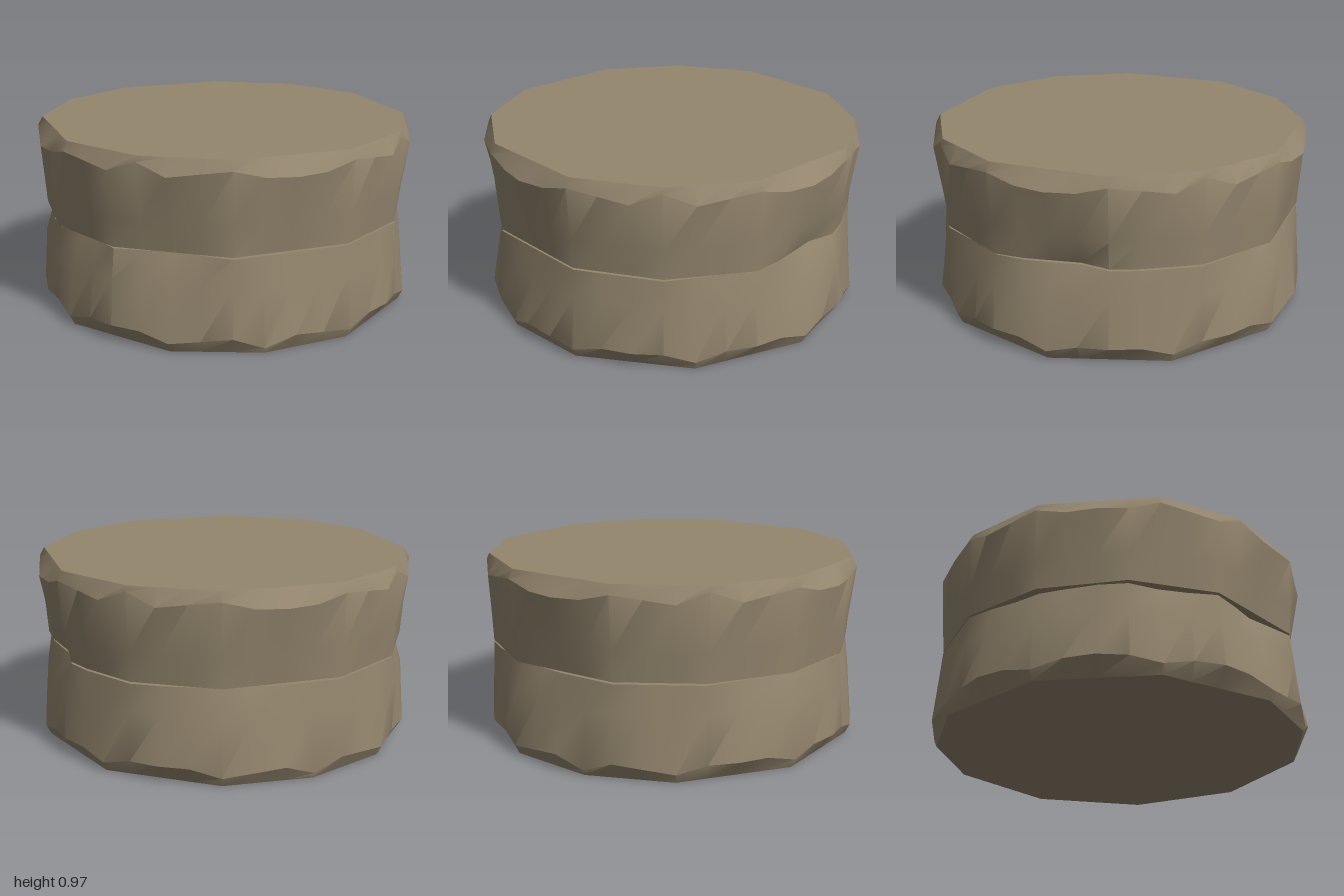
import * as THREE from 'three';
import { toCreasedNormals } from 'three/addons/utils/BufferGeometryUtils.js';

const SIDES = 40; // one column of points every 9 degrees
const RAD = Math.PI / 180;

// Corner angles in degrees, rising, of the uneven polygons (0 is +x, -90 is the front)
const RIM = [-153, -126, -99, -63, -36, -9, 27, 54, 81, 117, 144, 171];
const SEAM = [-162, -135, -99, -63, -36, -9, 27, 54, 81, 117, 144, 171];
const BASE = [-153, -117, -90, -63, -27, 9, 45, 81, 108, 135, 171];
const BELLY = Array.from({ length: 20 }, (_, i) => -171 + i * 18);

// Radius of a polygon, with the given corner angles, at angle t
function polyRadius(corners, radius, t) {
  const n = corners.length;
  for (let i = 0; i < n; i++) {
    const a = corners[i];
    const b = i + 1 < n ? corners[i + 1] : corners[0] + 360;
    const u = t < a ? t + 360 : t;
    if (u >= a && u <= b) {
      return radius * Math.cos((b - a) / 2 * RAD) / Math.cos((u - (a + b) / 2) * RAD);
    }
  }
  return radius;
}

// Inward depth of the broken edge at angle t
function chipDepth(chips, t) {
  let depth = 0;
  for (const [angle, size] of chips) {
    const d = Math.abs(((t - angle + 540) % 360) - 180);
    depth = Math.max(depth, size * Math.max(0, 1 - d / 18));
  }
  return depth;
}

// One stone drum: flat outer cap, worn rim, belly, and a narrower chipped seam
function drumGeometry(capY, seamY, capCorners, chips) {
  const dir = Math.sign(capY - seamY);
  const rings = [[], [], [], []]; // cap, belly, shoulder, seam
  for (let i = 0; i < SIDES; i++) {
    const t = -180 + i * 9;
    const cap = polyRadius(capCorners, 0.985, t);
    const belly = Math.max(polyRadius(BELLY, 1.01, t), cap + 0.003);
    const seam = polyRadius(SEAM, 0.978, t);
    const drop = Math.min(0.09, 0.008 + 1.6 * (belly - cap));
    const put = (k, r, y) => rings[k].push([r * Math.cos(t * RAD), y, -r * Math.sin(t * RAD)]);
    put(0, cap, capY);
    put(1, belly, capY - dir * drop);
    put(2, seam + (belly - seam) * 0.36, seamY + dir * 0.15);
    put(3, seam - chipDepth(chips, t), seamY);
  }
  if (dir > 0) rings.reverse(); // always bottom to top

  const pos = rings.flat(2);
  const index = [];
  for (let i = 0; i < SIDES; i++) {
    const j = (i + 1) % SIDES;
    for (let k = 0; k < 3; k++) {
      const a = k * SIDES + i, b = k * SIDES + j;
      index.push(a, b, b + SIDES, a, b + SIDES, a + SIDES);
    }
    index.push(4 * SIDES, j, i); // bottom cap
    index.push(4 * SIDES + 1, 3 * SIDES + i, 3 * SIDES + j); // top cap
  }
  pos.push(0, Math.min(capY, seamY), 0, 0, Math.max(capY, seamY), 0);

  const geo = new THREE.BufferGeometry();
  geo.setAttribute('position', new THREE.Float32BufferAttribute(pos, 3));
  geo.setIndex(index);
  return toCreasedNormals(geo, 0.6);
}

export function createModel() {
  const group = new THREE.Group();
  group.name = 'stoneColumnSection';
  const stone = new THREE.MeshStandardMaterial({ color: 0x94866e });
  stone.name = 'stone';

  const lower = new THREE.Mesh(
    drumGeometry(0, 0.482, BASE, [[-150, 0.04], [-117, 0.04], [168, 0.04], [81, 0.04], [18, 0.05], [-15, 0.02]]),
    stone
  );
  lower.name = 'lowerDrum';

  const upper = new THREE.Mesh(drumGeometry(0.97, 0.492, RIM, [[18, 0.05]]), stone);
  upper.name = 'upperDrum';

  group.add(lower, upper);
  return group;
}
